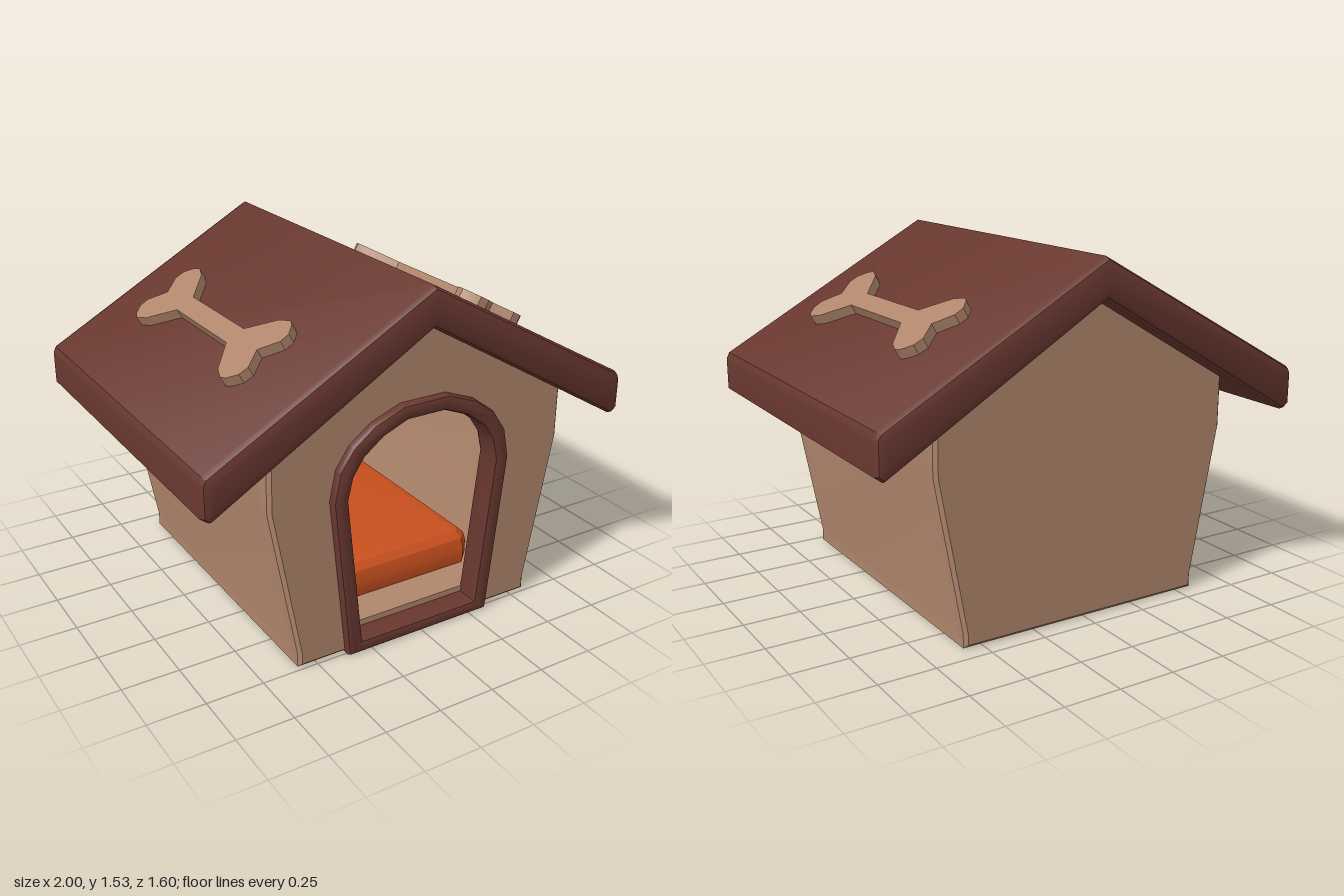
import * as THREE from 'three';
import { toCreasedNormals } from 'three/addons/utils/BufferGeometryUtils.js';

const wood = new THREE.MeshStandardMaterial({ color: 0xb0866c });
const trim = new THREE.MeshStandardMaterial({ color: 0x68372f });
const fabric = new THREE.MeshStandardMaterial({ color: 0xc8501e });

// Closed outline from the points of its right half, listed bottom to top
function mirrored(half) {
  const left = half.filter(([x]) => x > 0).map(([x, y]) => [-x, y]).reverse();
  return [...half, ...left].map(([x, y]) => new THREE.Vector2(x, y));
}

// Outline extruded from z0 to z1, with bevels kept inside its size
function slab(outline, z0, z1, bevel = 0, segments = 1, hole = null) {
  const shape = new THREE.Shape(outline);
  if (hole) shape.holes.push(new THREE.Path(hole));
  const geometry = new THREE.ExtrudeGeometry(shape, {
    depth: z1 - z0 - 2 * bevel,
    bevelEnabled: bevel > 0,
    bevelThickness: bevel,
    bevelSize: bevel,
    bevelOffset: -bevel,
    bevelSegments: segments,
  });
  geometry.translate(0, 0, z0 + bevel);
  return toCreasedNormals(geometry, 0.45);
}

function add(parent, name, geometry, material) {
  const mesh = new THREE.Mesh(geometry, material);
  mesh.name = name;
  parent.add(mesh);
  return mesh;
}

export function createModel() {
  const model = new THREE.Group();
  model.name = 'doghouse';

  // Outlines of the house and its arched doorway
  const house = mirrored([[0.58, 0], [0.58, 0.06], [0.705, 0.73], [0.705, 0.98], [0, 1.39]]);
  const room = mirrored([[0.53, 0.08], [0.65, 0.73], [0.65, 0.94], [0, 1.31]]);
  const arch = (half) => mirrored(half).map((p) => p.add(new THREE.Vector2(-0.013, 0)));
  const doorOuter = arch([[0.35, 0], [0.426, 0.72], [0.4, 0.85], [0.34, 0.94], [0.245, 1.012], [0.107, 1.065]]);
  const doorInner = arch([[0.285, 0.055], [0.357, 0.72], [0.335, 0.815], [0.285, 0.89], [0.2, 0.955], [0.09, 1.0]]);
  const opening = arch([[0.31, 0.03], [0.39, 0.72], [0.36, 0.83], [0.31, 0.915], [0.22, 0.985], [0.1, 1.03]]);

  // Hollow body: side walls and floor, back wall, front wall with the doorway
  add(model, 'sideWallsAndFloor', slab(house, -0.625, 0.675, 0, 1, room), wood);
  add(model, 'backWall', slab(house, -0.675, -0.61, 0.015), wood);
  add(model, 'frontWall', slab(house, 0.66, 0.74, 0.015, 1, opening), wood);
  add(model, 'doorFrame', slab(doorOuter, 0.66, 0.78, 0.02, 2, doorInner), trim);

  // Folded roof with rounded rims
  const roof = [
    [0, 1.36], [0.965, 0.79], [0.998, 0.815], [0.998, 0.955], [0.985, 0.982], [0, 1.53],
    [-0.985, 0.982], [-0.998, 0.955], [-0.998, 0.815], [-0.965, 0.79],
  ].map(([x, y]) => new THREE.Vector2(x, y));
  add(model, 'roof', slab(roof, -0.8, 0.8, 0.035, 2), trim);

  // Bone ornaments, one lying on each roof slope
  const quarter = [[0.045, 0.235], [0.155, 0.35], [0.178, 0.41], [0.165, 0.44], [0.125, 0.477], [0.08, 0.48]];
  const flip = (points) => points.map(([x, y]) => [x, -y]).reverse();
  const bone = mirrored([[0, -0.42], ...flip(quarter), ...quarter, [0, 0.42]]);
  const boneGeometry = slab(bone, -0.02, 0.045);
  const slope = Math.atan2(0.548, 0.985);
  const down = new THREE.Vector3(Math.cos(slope), -Math.sin(slope), 0);
  const normal = new THREE.Vector3(Math.sin(slope), Math.cos(slope), 0);
  const lie = new THREE.Matrix4().makeBasis(down, new THREE.Vector3(0, 0, -1), normal);
  for (const [name, turn] of [['leftBone', 0], ['rightBone', Math.PI]]) {
    const side = new THREE.Group();
    side.name = name + 'Ornament';
    side.rotation.y = turn;
    const mesh = add(side, name, boneGeometry, wood);
    mesh.quaternion.setFromRotationMatrix(lie);
    mesh.position.set(0.545, 1.53 - 0.545 * Math.tan(slope), 0.008);
    model.add(side);
  }

  // Cushion on the floor, with softened edges
  const pad = mirrored([[0.4, -0.52], [0.45, -0.47], [0.45, 0.47], [0.4, 0.52]]);
  const cushion = add(model, 'cushion', slab(pad, 0.02, 0.24, 0.08, 3), fabric);
  cushion.rotation.x = -Math.PI / 2;

  return model;
}
